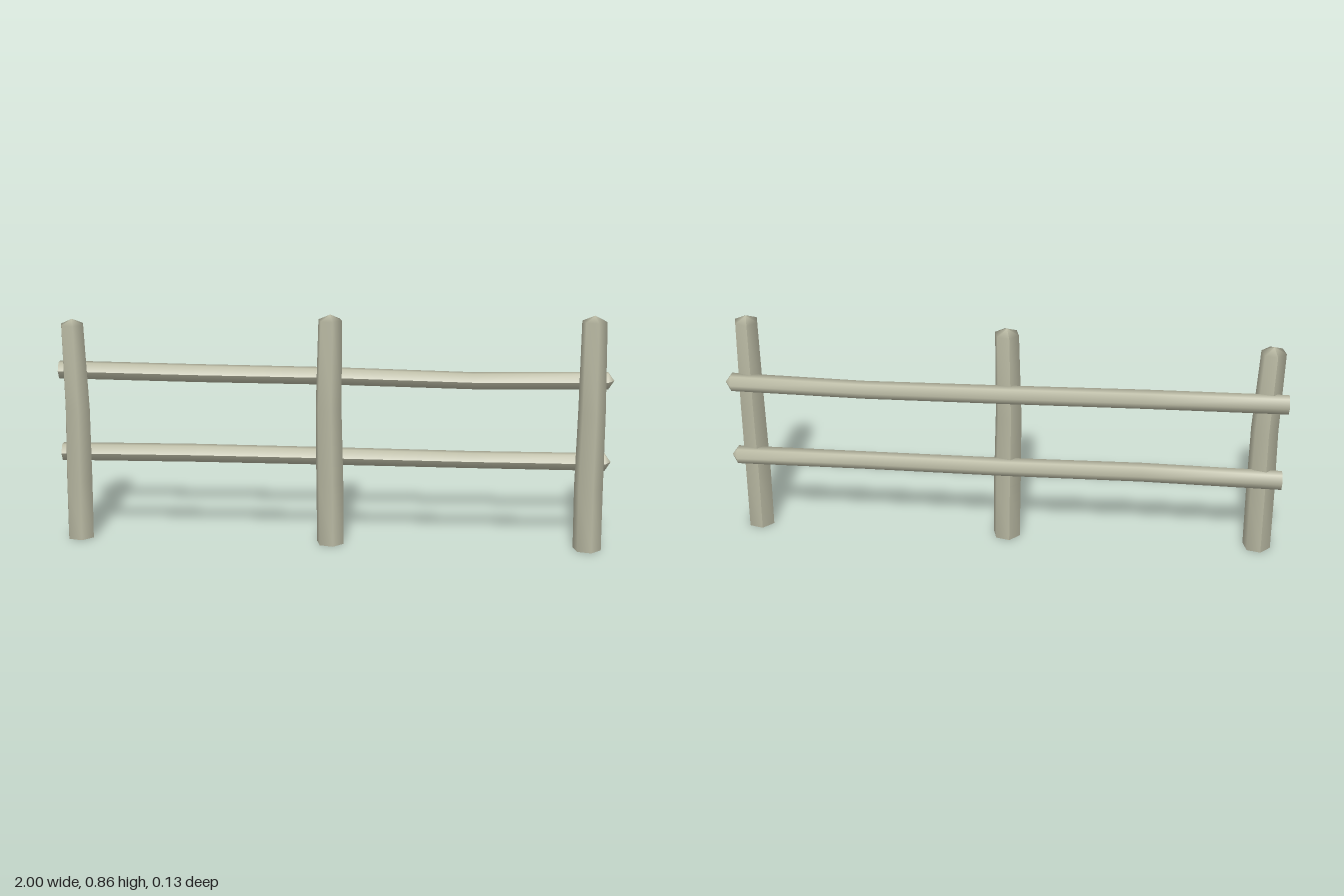
import * as THREE from 'three';

const SIDES = 6;

// Open-bottomed, slightly crooked log along +y; each ring is [x, y, z, radius].
// The first and last column are separate, which leaves a visible seam.
function logGeometry(rings, startAngle) {
  const positions = [];
  const index = [];
  const row = SIDES + 1;
  rings.forEach(([x, y, z, r], i) => {
    for (let j = 0; j <= SIDES; j++) {
      const a = startAngle + (j / SIDES) * Math.PI * 2;
      positions.push(x + r * Math.sin(a), y, z + r * Math.cos(a));
      if (i === 0 || j === SIDES) continue;
      const p = (i - 1) * row + j;
      const q = p + row;
      index.push(p, p + 1, q);
      if (r > 0) index.push(p + 1, q + 1, q);
    }
  });
  const geometry = new THREE.BufferGeometry();
  geometry.setAttribute('position', new THREE.Float32BufferAttribute(positions, 3));
  geometry.setIndex(index);
  geometry.computeVertexNormals();
  return geometry;
}

export function createModel() {
  const group = new THREE.Group();
  group.name = 'railFence';
  const wood = new THREE.MeshStandardMaterial({ color: 0xb8b8a2, side: THREE.DoubleSide });
  wood.name = 'weatheredWood';

  const add = (name, geometry) => {
    const mesh = new THREE.Mesh(geometry, wood);
    mesh.name = name;
    group.add(mesh);
  };

  // Upright posts: centre x at four levels, and total height
  const posts = [
    { name: 'rightPost', x: [-0.935, -0.932, -0.928, -0.936], height: 0.82 },
    { name: 'middlePost', x: [-0.008, -0.01, -0.014, -0.008], height: 0.85 },
    { name: 'leftPost', x: [0.924, 0.921, 0.922, 0.919], height: 0.86 },
  ];
  for (const { name, x, height: h } of posts) {
    add(name, logGeometry([
      [x[0], 0, 0.0135, 0.0515],
      [x[1], h * 0.27, 0.0135, 0.052],
      [x[2], h * 0.6, 0.016, 0.049],
      [x[3], h - 0.02, 0.0145, 0.0445],
      [x[3], h, 0.0145, 0], // pointed top
    ], THREE.MathUtils.degToRad(195)));
  }

  // Horizontal rails behind the posts: [along, height, depth, radius]
  const rails = {
    upperRail: [
      [-1, 0.622, -0.034, 0.034],
      [-0.5, 0.618, -0.031, 0.034],
      [0, 0.615, -0.037, 0.033],
      [0.5, 0.608, -0.032, 0.032],
      [0.978, 0.617, -0.032, 0.033],
      [1, 0.617, -0.032, 0],
    ],
    lowerRail: [
      [-1, 0.313, -0.034, 0.034],
      [-0.5, 0.318, -0.03, 0.034],
      [0, 0.316, -0.034, 0.033],
      [0.5, 0.315, -0.03, 0.032],
      [0.978, 0.316, -0.032, 0.033],
      [1, 0.316, -0.032, 0],
    ],
  };
  for (const [name, path] of Object.entries(rails)) {
    const rings = path.map(([along, height, depth, r]) => [-height, along, depth, r]);
    add(name, logGeometry(rings, 0).rotateZ(-Math.PI / 2));
  }

  return group;
}
